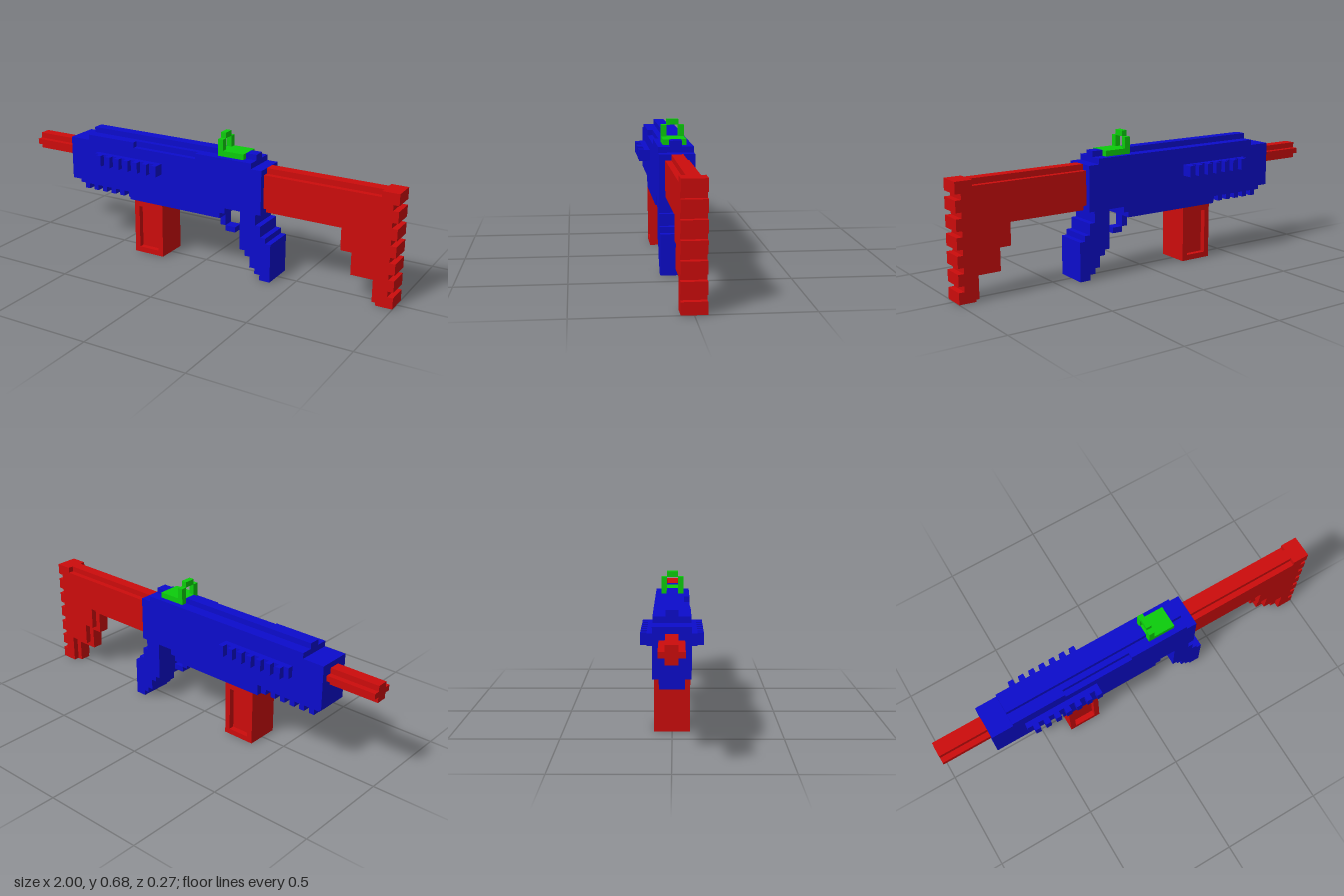
import * as THREE from 'three';

// All sizes are in blocks; the model is 73 blocks long.
const U = 2 / 73;
const mats = {
  blue: new THREE.MeshStandardMaterial({ name: 'blue', color: 0x0c0ccc }),
  red: new THREE.MeshStandardMaterial({ name: 'red', color: 0xcc0c0c }),
  green: new THREE.MeshStandardMaterial({ name: 'green', color: 0x0ccc0c }),
};

export function createModel() {
  const model = new THREE.Group();
  model.name = 'blockRifle';

  const add = (name, mat, geometry) => {
    geometry.scale(U, U, U);
    const mesh = new THREE.Mesh(geometry, mats[mat]);
    mesh.name = name;
    model.add(mesh);
  };
  // Box between two corners
  const box = (name, mat, x0, x1, y0, y1, z0, z1) =>
    add(name, mat, new THREE.BoxGeometry(x1 - x0, y1 - y0, z1 - z0)
      .translate((x0 + x1) / 2 - 36.5, (y0 + y1) / 2, (z0 + z1) / 2));
  // Side outline extruded across z, optionally with a hole
  const plate = (name, mat, pts, half, hole) => {
    const toVec = ([x, y]) => new THREE.Vector2(x - 36.5, y);
    const shape = new THREE.Shape(pts.map(toVec));
    if (hole) shape.holes.push(new THREE.Path(hole.map(toVec)));
    add(name, mat, new THREE.ExtrudeGeometry(shape, { depth: half * 2, bevelEnabled: false })
      .translate(0, 0, -half));
  };

  // Barrel with a cross-shaped section
  box('barrelCore', 'red', 0, 9, 16, 19, -1, 1);
  for (const s of [-1, 1]) box('barrelRib', 'red', 0, 9, 17, 18, Math.min(s, 2 * s), Math.max(s, 2 * s));

  // Receiver body
  plate('body', 'blue', [[9, 12], [22, 12], [22, 10], [41, 10], [41, 11], [42, 11], [42, 12],
    [49, 12], [49, 20], [9, 20]], 3);

  // Upper cover with a notch on the front side, and the top rail
  box('upperCover', 'blue', 13, 47, 20, 21, -3, 2);
  box('coverEdgeFront', 'blue', 13, 23, 20, 21, 2, 3);
  box('coverEdgeRear', 'blue', 36, 47, 20, 21, 2, 3);
  box('topRailFront', 'blue', 13, 40, 21, 22, -1, 1);
  box('topRailRear', 'blue', 45, 47, 21, 22, -1, 1);

  // Toothed rail under the front
  box('lowerRail', 'blue', 10, 22, 11, 12, -2, 2);
  for (let x = 11; x < 22; x += 2) box('lowerRailTooth', 'blue', x, x + 1, 10, 11, -2, 2);

  // Toothed rails on both sides
  for (const s of [-1, 1]) {
    const z = (a, b) => (s > 0 ? [a, b] : [-b, -a]);
    box('sideRail', 'blue', 15, 29, 16, 18, ...z(3, 4));
    for (let x = 16; x < 29; x += 2) box('sideRailTooth', 'blue', x, x + 1, 16, 18, ...z(4, 5));
  }

  // Magazine with a sunken panel on each side
  box('magazineCore', 'red', 23.5, 28.5, 0.5, 9.5, -2, 2);
  plate('magazineFrame', 'red', [[23, 0], [29, 0], [29, 10], [23, 10]], 3,
    [[24, 1], [24, 9], [28, 9], [28, 1]]);

  // Trigger guard
  plate('triggerGuard', 'blue', [[40, 8], [41, 8], [41, 10], [40, 10]], 1);
  box('triggerGuardFoot', 'blue', 41, 43, 7, 8, -1, 1);

  // Stepped grip
  plate('grip', 'blue', [[45, 12], [45, 5], [46, 5], [46, 4], [47, 4], [47, 2], [48, 2], [48, 1],
    [49, 1], [49, 0], [51, 0], [51, 7], [50, 7], [50, 8], [49, 8], [49, 10], [48, 10], [48, 12]], 3);

  // Stock: thin inner plate showing as a rim, and thicker main plate
  plate('stockRim', 'red', [[49, 12], [63, 12], [63, 8], [65, 8], [65, 4], [69, 4], [69, 0],
    [71, 0], [71, 20], [49, 20]], 1);
  plate('stock', 'red', [[49, 13], [64, 13], [64, 9], [66, 9], [66, 5], [70, 5], [70, 0],
    [72, 0], [72, 20], [70, 20], [70, 19], [49, 19]], 2);
  for (let y = 0; y < 20; y += 3) box('buttTooth', 'red', 72, 73, y, y + 2, -2, 2);

  // Rear sight
  box('sightBase', 'green', 40, 45, 21, 22, -2, 2);
  box('sightPostLeft', 'green', 40, 41, 22, 24, 1, 2);
  box('sightPostRight', 'green', 40, 41, 22, 24, -2, -1);
  box('sightTop', 'green', 40, 41, 24, 25, -1, 1);

  return model;
}
